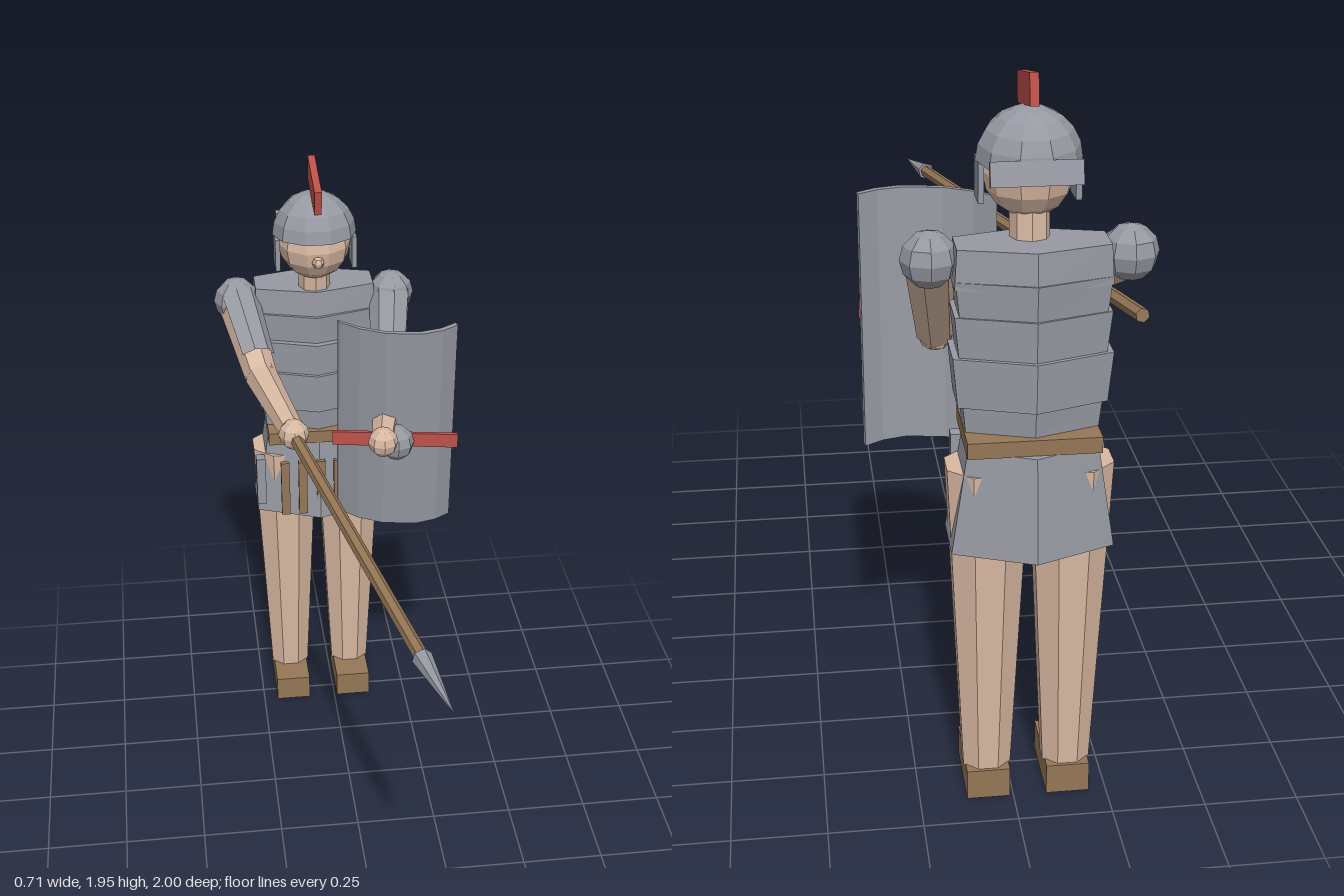
import * as THREE from 'three';

const V = (x, y, z) => new THREE.Vector3(x, y, z);

export function createModel() {
  const model = new THREE.Group();
  const paint = (name, color) =>
    Object.assign(new THREE.MeshStandardMaterial({ color, flatShading: true, side: THREE.DoubleSide }), { name });
  const skin = paint('skin', 0xd8b8a2);
  const metal = paint('metal', 0x9799a2);
  const leather = paint('leather', 0x957756);
  const red = paint('red', 0xc0504a);

  const add = (name, geometry, material, x = 0, y = 0, z = 0) => {
    const mesh = new THREE.Mesh(geometry, material);
    mesh.name = name;
    mesh.position.set(x, y, z);
    model.add(mesh);
    return mesh;
  };
  const box = (name, mat, w, h, d, x, y, z) => add(name, new THREE.BoxGeometry(w, h, d), mat, x, y, z);
  const ball = (name, mat, r, x, y, z, w = 8, h = 6) => add(name, new THREE.SphereGeometry(r, w, h), mat, x, y, z);
  // Tapered cylinder running from point a to point b
  const limb = (name, mat, a, b, ra, rb, sides = 6, start = 0, sweep = Math.PI * 2) => {
    const g = new THREE.CylinderGeometry(rb, ra, a.distanceTo(b), sides, 1, sweep < 6, start, sweep);
    const mesh = add(name, g, mat);
    mesh.position.copy(a).lerp(b, 0.5);
    mesh.quaternion.setFromUnitVectors(V(0, 1, 0), b.clone().sub(a).normalize());
    return mesh;
  };
  // Six-sided body ring: half widths and half depths at bottom and top
  const ring = (name, y0, y1, w0, w1, depth0, depth1, z) => {
    const g = new THREE.CylinderGeometry(1, 1, y1 - y0, 6);
    const p = g.attributes.position;
    for (let i = 0; i < p.count; i++) {
      const top = p.getY(i) > 0;
      p.setX(i, p.getX(i) / 0.866 * (top ? w1 : w0));
      p.setZ(i, p.getZ(i) * (top ? depth1 : depth0));
    }
    add(name, g, metal, -0.04, (y0 + y1) / 2, z);
  };

  // Legs and feet
  for (const [side, x] of [['right', -0.146], ['left', 0.067]]) {
    const leg = new THREE.CylinderGeometry(0.106, 0.064, 0.885, 8, 2);
    leg.rotateY(Math.PI / 8).scale(1.06, 1, 0.93);
    add(side + 'Leg', leg, skin, x, 0.523, -0.836);
    box(side + 'Foot', leather, 0.115, 0.085, 0.21, x, 0.0425, -0.795);
  }

  // Skirt, hanging straps, belt and side sheaths
  ring('skirt', 0.755, 1.03, 0.205, 0.163, 0.16, 0.132, -0.84);
  for (const x of [-0.155, -0.097, -0.037, 0.02, 0.075]) {
    box('skirtStrap', leather, 0.028, 0.195, 0.015, x, 0.868, -0.698);
  }
  box('belt', leather, 0.333, 0.042, 0.245, -0.038, 1.05, -0.828);
  box('rightSheath', metal, 0.03, 0.17, 0.035, -0.232, 0.88, -0.745);
  box('leftSheath', metal, 0.03, 0.1, 0.035, 0.135, 0.96, -0.745);

  // Overlapping armour bands
  ring('waistBand', 1.065, 1.17, 0.165, 0.175, 0.107, 0.118, -0.828);
  ring('lowerBand', 1.14, 1.27, 0.185, 0.197, 0.122, 0.128, -0.828);
  ring('middleBand', 1.255, 1.375, 0.18, 0.192, 0.115, 0.122, -0.828);
  ring('upperBand', 1.355, 1.465, 0.178, 0.19, 0.106, 0.115, -0.835);
  ring('chestBand', 1.445, 1.545, 0.192, 0.186, 0.108, 0.1, -0.838);

  // Neck, head and nose
  limb('neck', skin, V(-0.04, 1.52, -0.8), V(-0.04, 1.64, -0.79), 0.05, 0.05, 8);
  ball('head', skin, 0.112, -0.04, 1.7, -0.775, 10, 8);
  ball('nose', skin, 0.019, -0.04, 1.675, -0.665, 6, 4);

  // Helmet with cheek plates, neck guard and crest
  const dome = new THREE.SphereGeometry(0.13, 10, 5, 0, Math.PI * 2, 0, Math.PI / 2);
  add('helmetDome', dome, metal, -0.04, 1.73, -0.775).rotation.x = -0.06;
  for (const s of [-1, 1]) {
    box('cheekPlate', metal, 0.015, 0.1, 0.08, -0.04 + s * 0.118, 1.68, -0.762);
  }
  box('neckGuard', metal, 0.22, 0.06, 0.018, -0.04, 1.728, -0.898).rotation.x = 0.3;
  box('crest', red, 0.022, 0.078, 0.208, -0.04, 1.893, -0.745).rotation.x = 0.2;

  // Arms with shoulder guards and upper arm plates
  const arms = [
    ['right', V(-0.285, 1.5, -0.815), V(-0.232, 1.355, -0.57), V(-0.16, 1.318, -0.25)],
    ['left', V(0.205, 1.5, -0.815), V(0.17, 1.225, -0.6), V(0.115, 1.24, -0.31)],
  ];
  for (const [side, shoulder, elbow, hand] of arms) {
    ball(side + 'Shoulder', metal, 0.072, shoulder.x, shoulder.y, shoulder.z);
    limb(side + 'UpperArm', skin, shoulder, elbow, 0.062, 0.05);
    const plateEnd = shoulder.clone().lerp(elbow, 0.8);
    limb(side + 'ArmPlate', metal, shoulder, plateEnd, 0.07, 0.06, 3, Math.PI - 1.1, 2.2);
    ball(side + 'Elbow', skin, 0.049, elbow.x, elbow.y, elbow.z, 6, 4);
    limb(side + 'Forearm', skin, elbow, hand, 0.05, 0.036);
    ball(side + 'Hand', skin, 0.046, hand.x, hand.y, hand.z);
  }

  // Spear
  const butt = V(-0.302, 1.365, -0.9), neck = V(0.062, 1.241, 0.79), tip = V(0.107, 1.225, 1);
  limb('spearShaft', leather, butt, neck, 0.019, 0.019, 6);
  limb('spearHead', metal, neck, tip, 0.027, 0.001, 6);

  // Curved shield, leaning so its foot sits further back
  const arc = [[0.005, -0.495], [0.06, -0.442], [0.135, -0.4], [0.24, -0.383], [0.305, -0.4], [0.355, -0.432]];
  const outline = new THREE.Shape();
  arc.forEach(([x, z], i) => (i ? outline.lineTo(x, -z) : outline.moveTo(x, -z)));
  [...arc].reverse().forEach(([x, z]) => outline.lineTo(x - 0.004, -z + 0.018));
  outline.closePath();
  const board = new THREE.ExtrudeGeometry(outline, { depth: 0.69, bevelEnabled: false });
  board.rotateX(-Math.PI / 2);
  const p = board.attributes.position;
  for (let i = 0; i < p.count; i++) p.setZ(i, p.getZ(i) - 0.05 * (1 - p.getY(i) / 0.69));
  board.computeVertexNormals();
  add('shield', board, metal, 0, 0.865, 0);
  ball('shieldBoss', metal, 0.055, 0.165, 1.2, -0.375);
  box('shieldBar', red, 0.385, 0.045, 0.012, 0.163, 1.203, -0.39).rotation.y = -0.17;

  return model;
}
